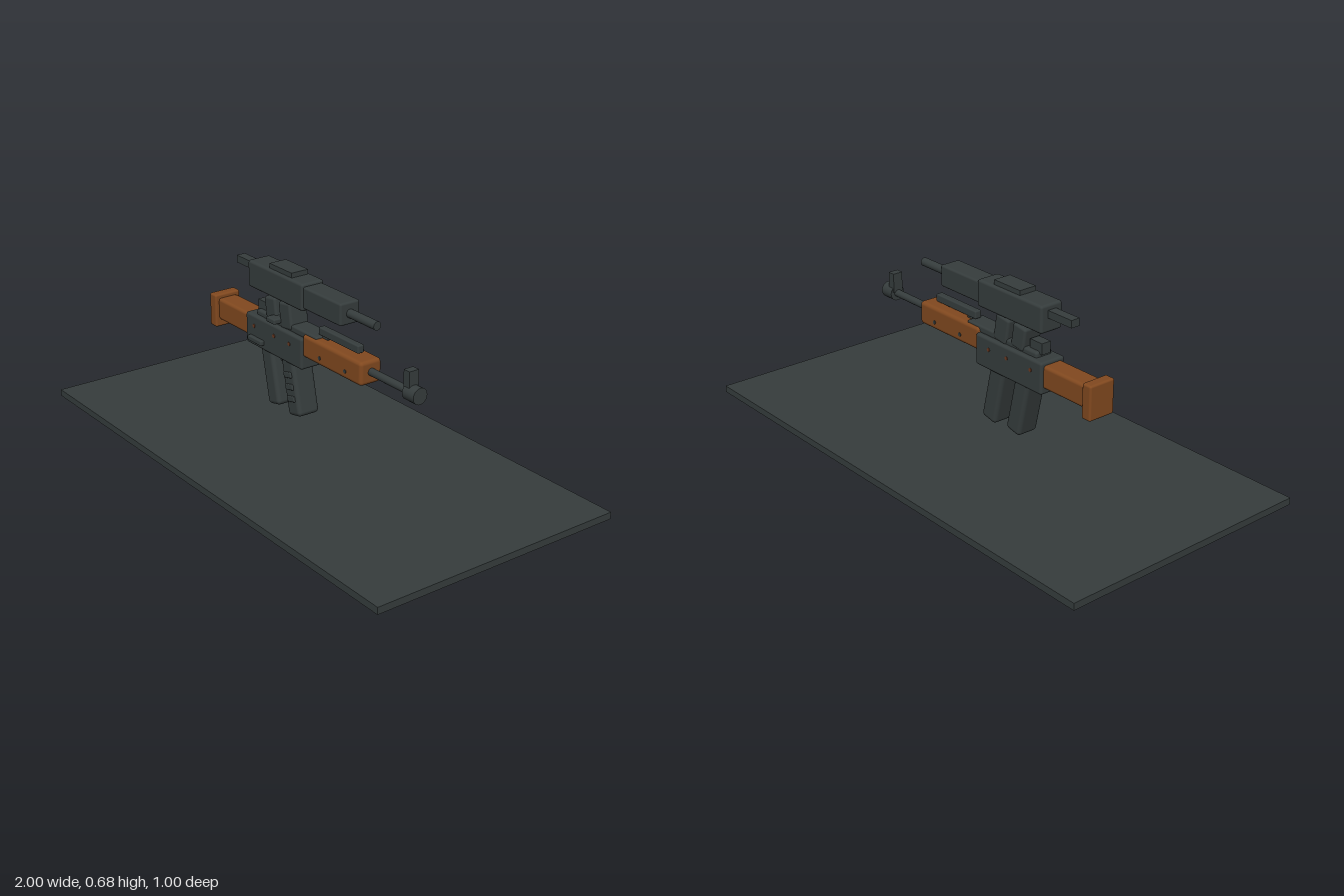
import * as THREE from 'three';
import { RoundedBoxGeometry } from 'three/addons/geometries/RoundedBoxGeometry.js';

export function createModel() {
  const model = new THREE.Group();
  const metal = new THREE.MeshStandardMaterial({ color: 0x363d3d });
  metal.name = 'dark metal';
  const wood = new THREE.MeshStandardMaterial({ color: 0x82491f });
  wood.name = 'brown wood';
  const rivet = new THREE.MeshStandardMaterial({ color: 0x6b3a22 });
  rivet.name = 'rivet brown';

  function add(name, geometry, material, x, y, z) {
    const mesh = new THREE.Mesh(geometry, material);
    mesh.name = name;
    mesh.position.set(x, y, z);
    model.add(mesh);
    return mesh;
  }
  // Box given by its limits, rounded when r > 0
  function box(name, mat, x0, x1, y0, y1, z0, z1, r = 0) {
    const w = x1 - x0, h = y1 - y0, d = z1 - z0;
    const g = r ? new RoundedBoxGeometry(w, h, d, 2, r) : new THREE.BoxGeometry(w, h, d);
    return add(name, g, mat, (x0 + x1) / 2, (y0 + y1) / 2, (z0 + z1) / 2);
  }
  // Cylinder lying along x
  function rod(name, mat, x0, x1, y, r) {
    const g = new THREE.CylinderGeometry(r, r, x1 - x0, 24).rotateZ(Math.PI / 2);
    return add(name, g, mat, (x0 + x1) / 2, y, 0);
  }
  // Rounded block leaning in the xy plane
  function leaning(name, x, y, w, h, d, angle, r) {
    const mesh = add(name, new RoundedBoxGeometry(w, h, d, 2, r), metal, x, y, 0);
    mesh.rotation.z = angle;
    return mesh;
  }

  box('basePlate', metal, -1, 1, 0, 0.026, -0.5, 0.5);

  // Stock
  box('stock', wood, -0.55, -0.33, 0.36, 0.446, -0.042, 0.042, 0.012);
  box('buttPlate', wood, -0.587, -0.545, 0.33, 0.46, -0.055, 0.055, 0.008);

  // Receiver and its small fittings
  box('receiver', metal, -0.345, 0.003, 0.338, 0.458, -0.054, 0.054, 0.01);
  box('receiverCover', metal, -0.3, 0, 0.44, 0.478, -0.036, 0.036, 0.01);
  box('coverLip', metal, -0.09, 0.07, 0.455, 0.482, -0.037, 0.037, 0.008);
  box('rearSight', metal, -0.31, -0.25, 0.468, 0.51, -0.02, 0.02);
  box('selector', metal, -0.315, -0.228, 0.358, 0.378, 0.05, 0.069, 0.005);
  box('boltHandle', metal, -0.19, -0.14, 0.47, 0.49, 0.02, 0.07, 0.005);
  box('trigger', metal, -0.183, -0.163, 0.305, 0.345, -0.012, 0.012, 0.004);

  // Handguard, barrel and sights
  box('handguard', wood, -0.005, 0.332, 0.387, 0.475, -0.046, 0.046, 0.014);
  box('gasTube', metal, 0.05, 0.275, 0.482, 0.512, -0.014, 0.014, 0.005);
  box('gasTubeMount', metal, 0.07, 0.1, 0.465, 0.49, -0.01, 0.01);
  rod('barrel', metal, 0.32, 0.54, 0.434, 0.014);
  rod('muzzle', metal, 0.53, 0.588, 0.434, 0.03);
  box('frontSight', metal, 0.525, 0.555, 0.44, 0.515, -0.02, 0.02);

  // Rivets on both sides
  for (const side of [-1, 1]) {
    for (const x of [-0.29, -0.165, -0.07, 0.1, 0.245]) {
      const z = (x < 0 ? 0.054 : 0.046) * side;
      const g = new THREE.CylinderGeometry(0.007, 0.007, 0.005, 12).rotateX(Math.PI / 2);
      add('rivet', g, x < 0 ? rivet : metal, x, 0.417, z);
    }
  }

  // Grip and magazine below, with raised ribs on the magazine
  const lean = 0.22;
  leaning('rearGrip', -0.21, 0.25, 0.072, 0.235, 0.09, lean, 0.016);
  const magazine = leaning('magazine', -0.08, 0.25, 0.074, 0.235, 0.092, lean, 0.016);
  for (const y of [-0.05, -0.005, 0.04]) {
    const rib = new THREE.Mesh(new RoundedBoxGeometry(0.045, 0.022, 0.012, 2, 0.004), metal);
    rib.name = 'magazineRib';
    rib.position.set(0, y, 0.046);
    magazine.add(rib);
  }

  // Scope mounts
  leaning('rearScopeMount', -0.207, 0.505, 0.066, 0.09, 0.08, 0.16, 0.01);
  leaning('frontScopeMount', -0.117, 0.505, 0.07, 0.1, 0.08, 0.16, 0.01);

  // Scope
  box('scopeBody', metal, -0.335, 0, 0.558, 0.66, -0.048, 0.048, 0.01);
  box('scopeFront', metal, -0.005, 0.212, 0.568, 0.65, -0.042, 0.042, 0.008);
  box('scopeTopPlate', metal, -0.213, -0.078, 0.655, 0.678, -0.036, 0.036);
  box('scopeRearBar', metal, -0.45, -0.33, 0.612, 0.64, -0.018, 0.018);
  rod('scopeFrontTube', metal, 0.21, 0.36, 0.609, 0.016);

  return model;
}
